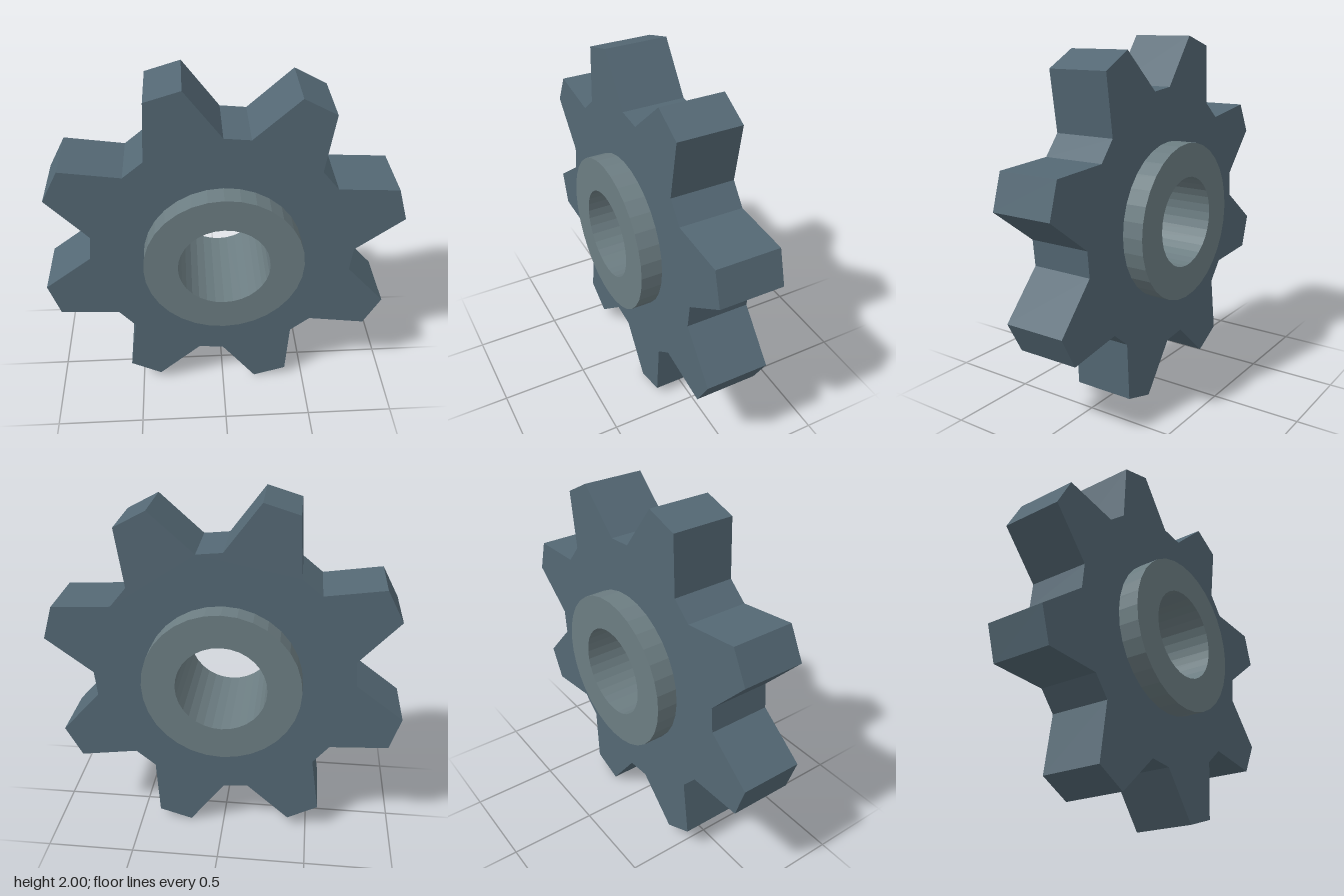
import * as THREE from 'three';

const TEETH = 8, SIDES = 32;
const TIP_R = 1.0196, ROOT_R = 0.735, HUB_R = 0.44, BORE_R = 0.253;
const GEAR_DEPTH = 0.354, HUB_DEPTH = 0.592;

const polar = (r, a) => new THREE.Vector2(r * Math.cos(a), r * Math.sin(a));

function ring(radius) {
  return Array.from({ length: SIDES }, (_, i) => polar(radius, (i / SIDES) * Math.PI * 2));
}

// Extrudes an outline with a round hole, centred on z = 0
function plate(outline, holeRadius, depth, color, name) {
  const shape = new THREE.Shape(outline);
  shape.holes.push(new THREE.Path(ring(holeRadius)));
  const geometry = new THREE.ExtrudeGeometry(shape, { depth, bevelEnabled: false, steps: 1 });
  geometry.translate(0, 0, -depth / 2);
  const mesh = new THREE.Mesh(geometry, new THREE.MeshStandardMaterial({ color, flatShading: true }));
  mesh.name = name;
  return mesh;
}

export function createModel() {
  const group = new THREE.Group();
  group.name = 'gear';

  // Each tooth: root, tip, tip, root at quarter steps of the tooth pitch
  const outline = [];
  for (let i = 0; i < TEETH; i++) {
    [ROOT_R, TIP_R, TIP_R, ROOT_R].forEach((r, k) => {
      outline.push(polar(r, ((i + k / 4) / TEETH) * Math.PI * 2));
    });
  }

  // Toothed wheel around the raised hub with its through bore
  group.add(plate(outline, HUB_R, GEAR_DEPTH, 0x546874, 'toothedWheel'));
  group.add(plate(ring(HUB_R), BORE_R, HUB_DEPTH, 0x6c7d82, 'hub'));

  group.position.y = 1;
  return group;
}
